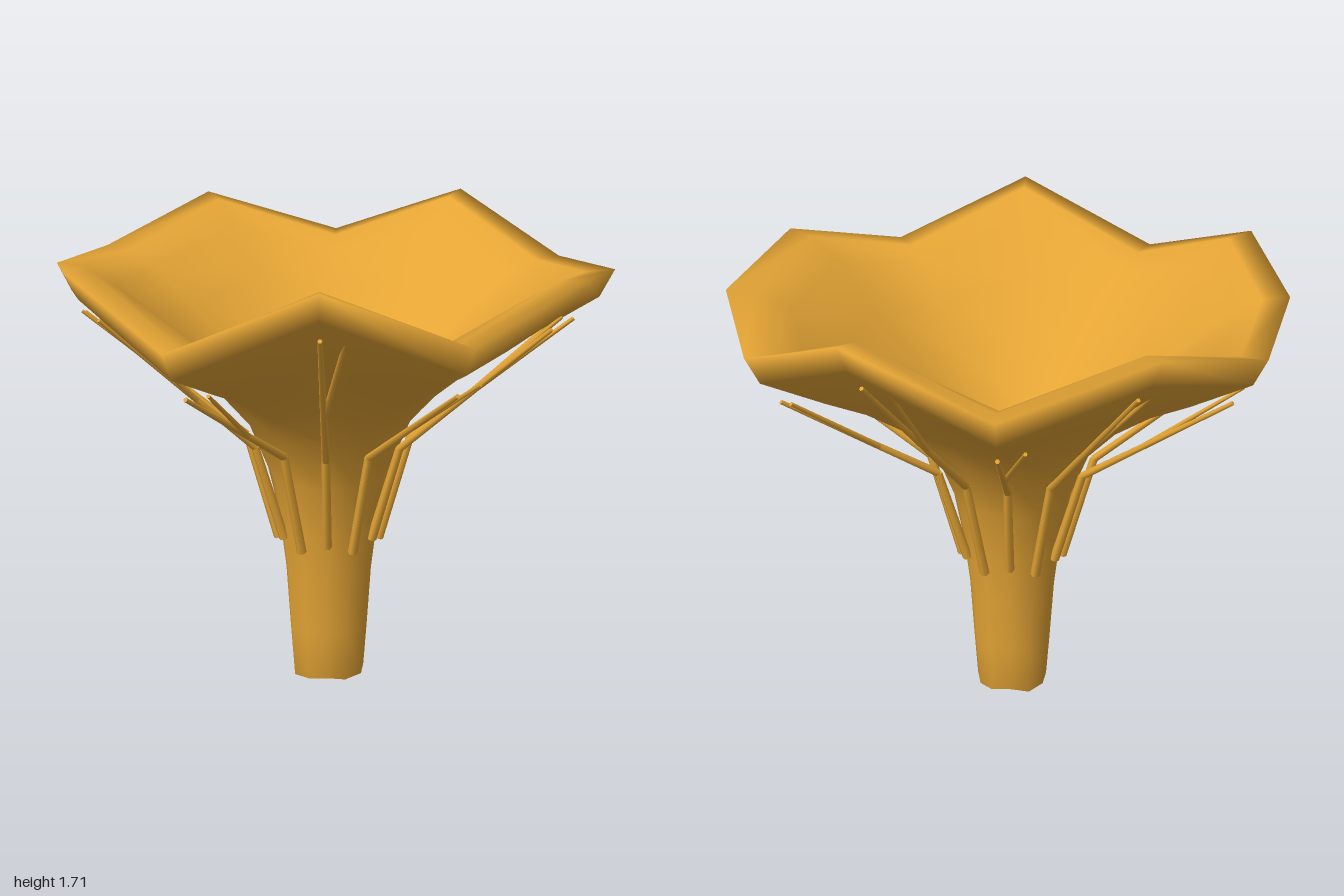
import * as THREE from 'three';
import { mergeVertices } from 'three/addons/utils/BufferGeometryUtils.js';

const SIDES = 12;
// Wavy rim: height and radius every 30 degrees, from the front towards the left (+x)
const RIM_Y = [1.48, 1.71, 1.50, 1.64, 1.57, 1.51, 1.70, 1.51, 1.68, 1.54, 1.58, 1.66];
const RIM_R = [1, 1, 0.975, 1, 1.02, 1, 1, 1, 1.02, 1, 0.975, 1];
const MEAN_Y = 1.58;

const polar = (r, y, angle) => new THREE.Vector3(r * Math.sin(angle), y, r * Math.cos(angle));

// Rings from the base, up the outside, over the lip and down the funnel:
// [radius, height, share of the rim wave, stem wobble]
const RINGS = [
  [0, 0.025, 0, 0], [0.1, 0.008, 0, 0.06], [0.138, 0.015, 0, 0.05], [0.15, 0.2, 0, 0.04],
  [0.163, 0.42, 0, 0.03], [0.183, 0.6, 0, 0.02], [0.22, 0.8, 0, 0.01], [0.3, 1.0, 0.03, 0],
  [0.43, 1.14, 0.15, 0], [0.57, 1.245, 0.35, 0], [0.72, 1.33, 0.55, 0], [0.95, 1.48, 1, 0],
  [1, 1.58, 1, 0], [0.9, 1.57, 0.95, 0], [0.78, 1.51, 0.7, 0], [0.6, 1.37, 0.4, 0],
  [0.42, 1.22, 0.2, 0], [0.25, 1.07, 0.05, 0], [0.11, 0.93, 0, 0], [0, 0.86, 0, 0],
];

function bodyGeometry() {
  const positions = [], index = [];
  RINGS.forEach(([r, y, wave, wobble], i) => {
    for (let j = 0; j < SIDES; j++) {
      const angle = (j / SIDES) * Math.PI * 2;
      const radius = r * (1 + (RIM_R[j] - 1) * wave + wobble * Math.sin(j * 2.3 + 1));
      const base = i === 1 || i === 2 ? 0.008 * Math.sin(j * 2.1) : 0;
      positions.push(...polar(radius, y + wave * (RIM_Y[j] - MEAN_Y) + base, angle).toArray());
      if (i === 0) continue;
      const k = (j + 1) % SIDES, lo = (i - 1) * SIDES, hi = i * SIDES;
      index.push(lo + j, lo + k, hi + j, lo + k, hi + k, hi + j);
    }
  });
  let geometry = new THREE.BufferGeometry();
  geometry.setAttribute('position', new THREE.Float32BufferAttribute(positions, 3));
  geometry.setIndex(index);
  geometry = mergeVertices(geometry, 1e-4); // closes both poles
  geometry.computeVertexNormals();
  return geometry;
}

// Tapered rod between two points
function rod(name, from, to, r0, r1, material) {
  const dir = to.clone().sub(from);
  const mesh = new THREE.Mesh(new THREE.CylinderGeometry(r1, r0, dir.length(), 6), material);
  mesh.name = name;
  mesh.position.copy(from).addScaledVector(dir, 0.5);
  mesh.quaternion.setFromUnitVectors(new THREE.Vector3(0, 1, 0), dir.normalize());
  return mesh;
}

export function createModel() {
  const model = new THREE.Group();
  model.name = 'funnelMushroom';
  const material = new THREE.MeshStandardMaterial({ color: 0xe5a535 });

  const body = new THREE.Mesh(bodyGeometry(), material);
  body.name = 'stemAndCap';
  model.add(body);

  // Forked ridges running from the stem to the underside of the rim
  for (let j = 0; j < SIDES; j++) {
    const angle = (j / SIDES) * Math.PI * 2;
    const ridge = new THREE.Group();
    ridge.name = 'ridge';
    const endY = RIM_Y[j] - 0.18;
    const foot = polar(0.187, j % 2 ? 0.57 : 0.54, angle);
    const knee = polar(0.3, 0.94, angle);
    const tip = polar(0.88, endY, angle);
    const fork = knee.clone().lerp(tip, 0.38);
    const forkTip = polar(0.88, endY + 0.025, angle + 0.1);
    ridge.add(
      rod('ridgeBase', foot, knee, 0.018, 0.015, material),
      rod('ridgeBranch', knee, tip, 0.015, 0.008, material),
      rod('ridgeFork', fork, forkTip, 0.011, 0.007, material),
    );
    model.add(ridge);
  }
  return model;
}
